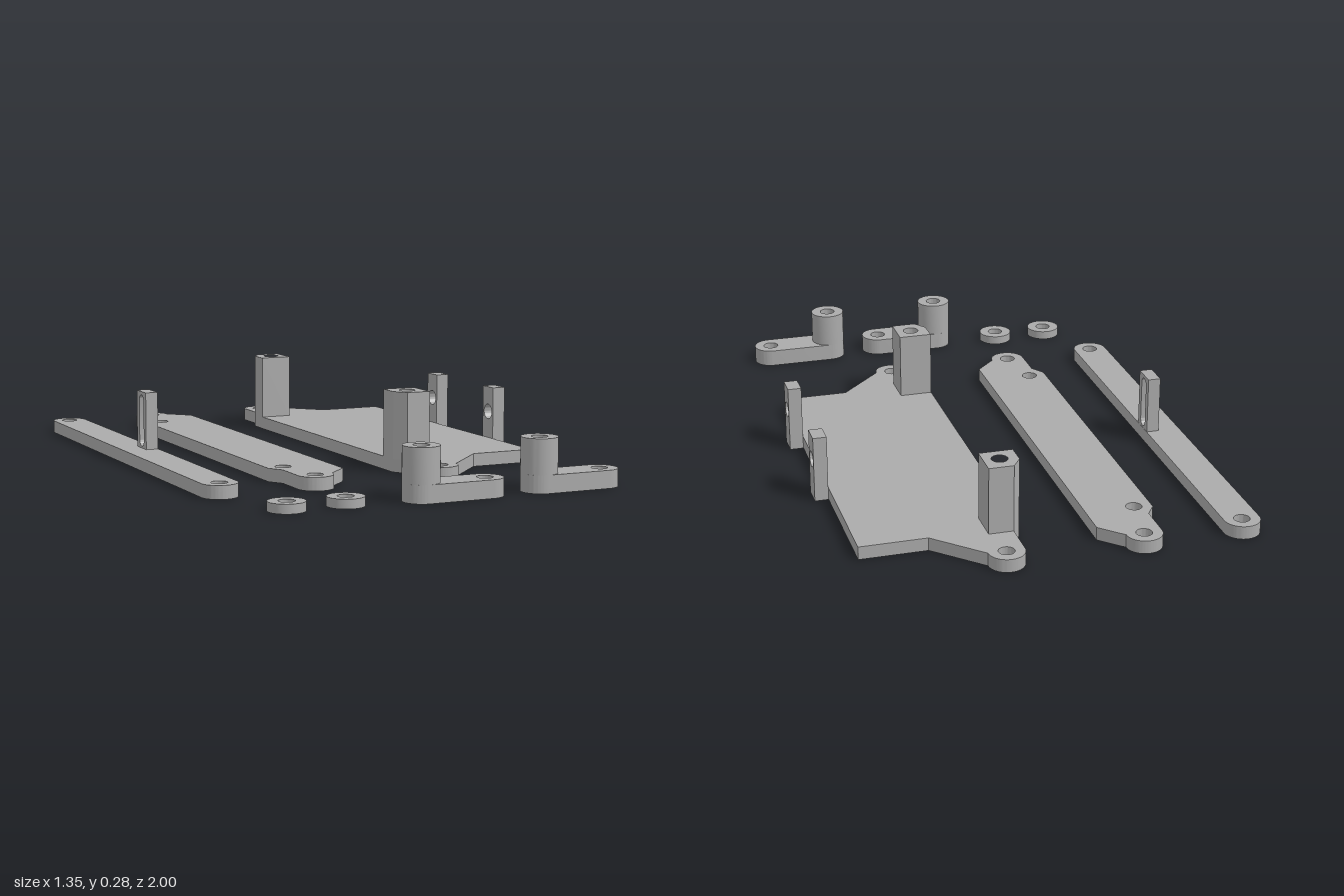
import * as THREE from 'three';
import { toCreasedNormals } from 'three/addons/utils/BufferGeometryUtils.js';

const R = 0.061;      // outer radius of rounded ends
const HOLE = 0.027;   // bolt hole radius
const T = 0.045;      // plate thickness

export function createModel() {
  const root = new THREE.Group();
  const grey = new THREE.MeshStandardMaterial({ color: 0xaaaaaa });
  grey.name = 'grey plastic';

  const circle = (x, y, r) => new THREE.Path().absarc(x, y, r, 0, Math.PI * 2, true);

  function solid(shape, depth) {
    const g = new THREE.ExtrudeGeometry(shape, { depth, bevelEnabled: false, curveSegments: 20 });
    return toCreasedNormals(g, 0.5);
  }
  function add(name, geometry) {
    const mesh = new THREE.Mesh(geometry, grey);
    mesh.name = name;
    root.add(mesh);
  }
  // Plan outline given as (x, -z), raised from y0 to y1
  function slab(name, shape, y0, y1, holes = []) {
    for (const [x, z] of holes) shape.holes.push(circle(x, -z, HOLE));
    add(name, solid(shape, y1 - y0).rotateX(-Math.PI / 2).translate(0, y0, 0));
  }
  // Upright plate: outline as (-z, y), thickness along x
  function upright(name, x0, x1, z0, z1, y0, y1, hole) {
    const s = new THREE.Shape([[-z1, y0], [-z0, y0], [-z0, y1], [-z1, y1]].map(p => new THREE.Vector2(...p)));
    s.holes.push(hole);
    add(name, solid(s, x1 - x0).rotateY(Math.PI / 2).translate(x0, 0, 0));
  }
  // Long outline with a rounded lug at each end; side points run anticlockwise
  function lugged(cx, zBack, zFront, left = [], right = []) {
    const s = new THREE.Shape();
    s.moveTo(cx + R, -zBack);
    s.absarc(cx, -zBack, R, 0, Math.PI, false);
    for (const [x, z] of left) s.lineTo(x, -z);
    s.absarc(cx, -zFront, R, Math.PI, Math.PI * 2, false);
    for (const [x, z] of right) s.lineTo(x, -z);
    s.closePath();
    return s;
  }
  const shoulder = cx => [[cx - R, -0.815], [cx - 0.092, -0.77], [cx - 0.092, 0.42], [cx - R, 0.47]];

  // Narrow bar with slotted upright
  slab('narrowBar', lugged(-0.616, -0.932, 0.6), 0, T, [[-0.616, -0.932], [-0.616, 0.6]]);
  const slot = new THREE.Path();
  slot.absarc(0.162, 0.212, 0.021, 0, Math.PI, false);
  slot.absarc(0.162, 0.073, 0.021, Math.PI, Math.PI * 2, false);
  slot.closePath();
  upright('slottedPost', -0.6, -0.556, -0.207, -0.117, T, 0.245, slot);

  // Middle plate
  slab('middlePlate',
    lugged(-0.277, -0.939, 0.59, shoulder(-0.277), [[-0.142, 0.515], [-0.142, -0.865]]),
    0, T, [[-0.277, -0.939], [-0.277, 0.59], [-0.309, -0.753], [-0.309, 0.405]]);

  // Wide base plate
  slab('basePlate',
    lugged(0.182, -0.939, 0.59, shoulder(0.182),
      [[0.396, 0.435], [0.626, 0.435], [0.626, -0.787], [0.396, -0.787]]),
    0, T, [[0.182, -0.939], [0.182, 0.59], [0.151, -0.753], [0.151, 0.405]]);

  // Tall chamfered posts, mirrored front to back about the plate's middle
  for (const [name, mid, dir] of [['backPost', -0.815, 1], ['frontPost', 0.47, -1]]) {
    const pts = [[0.09, 0.12], [0.09, 0.045], [0.121, 0], [0.205, 0], [0.205, 0.12]];
    const shape = new THREE.Shape(pts.map(([x, d]) => new THREE.Vector2(x, -(mid + dir * d))));
    slab(name, shape, T, 0.276, [[0.151, mid + dir * 0.063]]);
  }

  // Drilled tabs on the plate's edge
  for (const z of [-0.302, 0.127])
    upright('drilledTab', 0.626, 0.673, z - 0.037, z + 0.037, 0, 0.23, circle(-z, 0.14, HOLE));

  // Washers
  for (const x of [-0.522, -0.322]) {
    const s = new THREE.Shape().absarc(x, -0.914, R, 0, Math.PI * 2, false);
    slab('washer', s, 0, 0.031, [[x, 0.914]]);
  }

  // Lever arms with a tall boss at the left end
  for (const x of [-0.073, 0.355]) {
    const z = 0.939, end = x + 0.228;
    const arm = new THREE.Shape();
    arm.absarc(end, -z, R, -Math.PI / 2, Math.PI / 2, false);
    arm.absarc(x, -z, R, Math.PI / 2, Math.PI * 1.5, false);
    arm.closePath();
    slab('leverArm', arm, 0, 0.06, [[x, z], [end, z]]);
    const boss = new THREE.Shape().absarc(x, -z, R, 0, Math.PI * 2, false);
    slab('leverBoss', boss, 0.06, 0.178, [[x, z]]);
  }

  return root;
}
